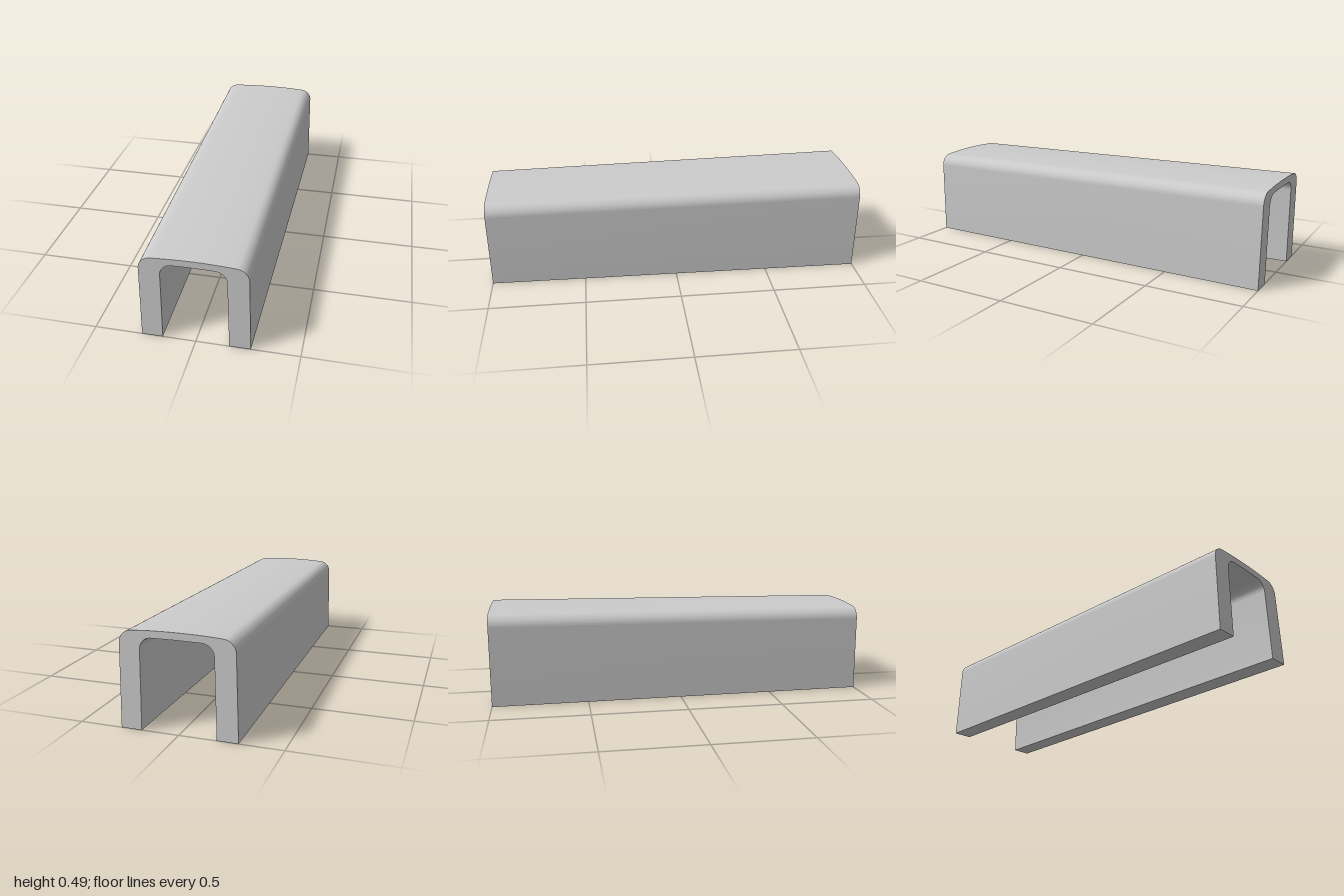
import * as THREE from 'three';
import { toCreasedNormals } from 'three/addons/utils/BufferGeometryUtils.js';

const K = 0.55; // circle-like handle length for the rounded corners

// One side of the arch as wall foot, wall top, corner and roof end
const OUTER = { foot: [0.265, 0], wall: [0.257, 0.395], corner: [0.256, 0.4505], roof: [0.2, 0.455], crown: 0.471 };
const INNER = { foot: [0.162, 0], wall: [0.156, 0.37], corner: [0.155, 0.4255], roof: [0.1, 0.4265], crown: 0.4295 };

// Draws an arch from the side s (+1 or -1) across to the other side
function traceArch(shape, { foot, wall, corner, roof, crown }, s) {
  const mix = (a, b) => a + (b - a) * K;
  const w = [mix(wall[0], corner[0]), mix(wall[1], corner[1])];
  const r = [mix(roof[0], corner[0]), mix(roof[1], corner[1])];
  shape.lineTo(s * foot[0], foot[1]);
  shape.lineTo(s * wall[0], wall[1]);
  shape.bezierCurveTo(s * w[0], w[1], s * r[0], r[1], s * roof[0], roof[1]);
  shape.quadraticCurveTo(0, crown, -s * roof[0], roof[1]);
  shape.bezierCurveTo(-s * r[0], r[1], -s * w[0], w[1], -s * wall[0], wall[1]);
  shape.lineTo(-s * foot[0], foot[1]);
}

export function createModel() {
  const group = new THREE.Group();
  group.name = 'taperedChannel';

  // Channel section with thick walls and a thin crowned roof
  const shape = new THREE.Shape();
  shape.moveTo(OUTER.foot[0], 0);
  traceArch(shape, OUTER, 1);
  traceArch(shape, INNER, -1);
  shape.closePath();
  const geometry = new THREE.ExtrudeGeometry(shape, { depth: 2, bevelEnabled: false, curveSegments: 16 });
  geometry.translate(0, 0, -1);

  // Widen and raise the section toward the back, keeping wall thickness
  const p = geometry.attributes.position;
  for (let i = 0; i < p.count; i++) {
    const grow = 0.023 * (1 - p.getZ(i)) / 2;
    const x = p.getX(i), y = p.getY(i);
    p.setX(i, x + grow * THREE.MathUtils.clamp(x / 0.1, -1, 1));
    p.setY(i, y + grow * Math.min(y / 0.37, 1));
  }

  const channel = new THREE.Mesh(
    toCreasedNormals(geometry, 0.6),
    new THREE.MeshStandardMaterial({ color: 0xcccccc })
  );
  channel.name = 'channelCover';
  group.add(channel);
  return group;
}
